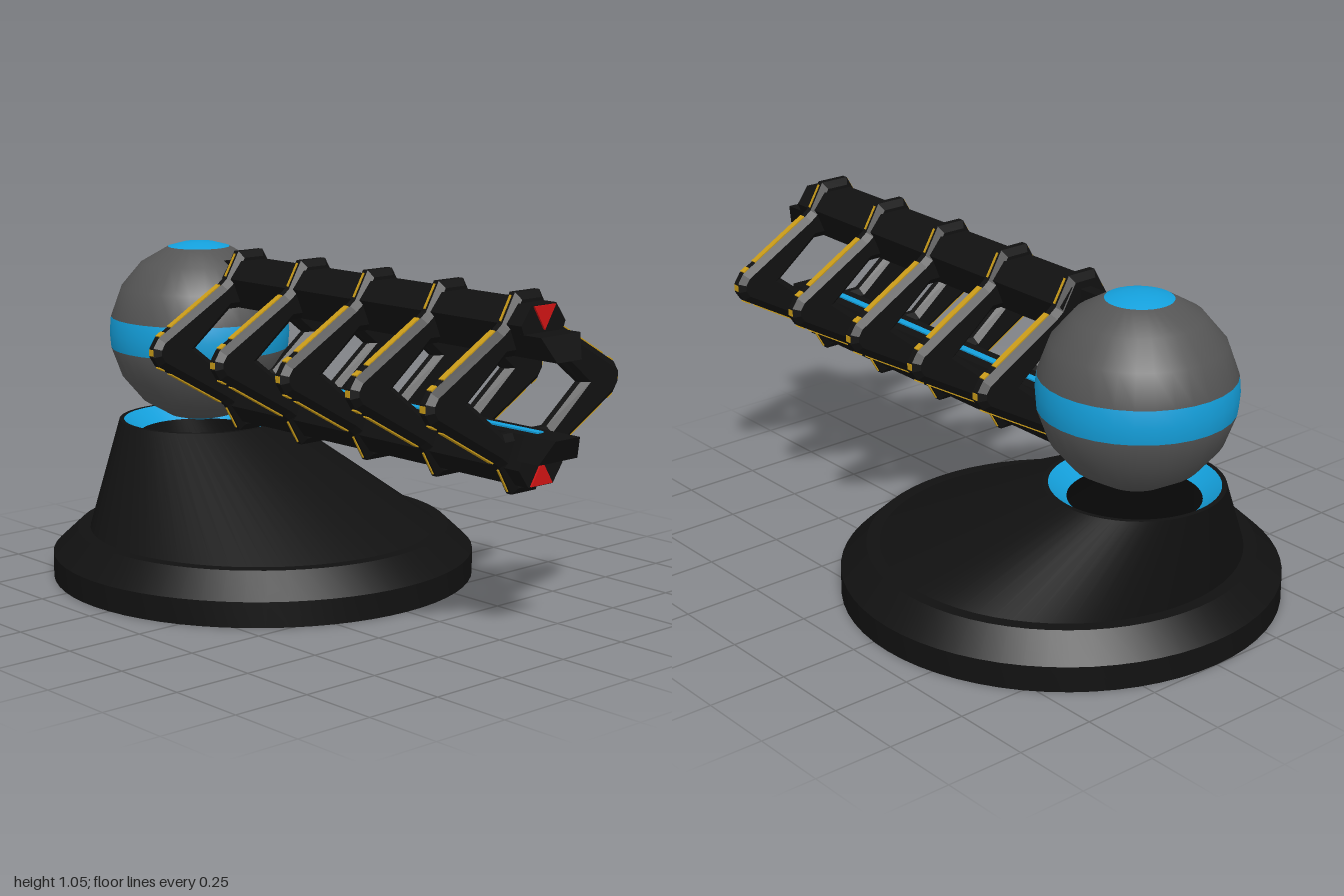
import * as THREE from 'three';
import { toCreasedNormals } from 'three/addons/utils/BufferGeometryUtils.js';

const paint = (color, extra = {}) => new THREE.MeshStandardMaterial({ color, ...extra });
const black = paint(0x111111), grey = paint(0x555555), blue = paint(0x14a0dc);
const gold = paint(0xc89a18), red = paint(0xd01414);

const MID = 0.75; // height of the ball and of the rail axis
const BALL_X = -0.64;

function add(parent, name, geometry, material, x = 0, y = 0, z = 0) {
  const mesh = new THREE.Mesh(geometry, material);
  mesh.name = name;
  mesh.position.set(x, y, z);
  parent.add(mesh);
  return mesh;
}

// Lathe whose rings [radius, y, centreX] may slide sideways
function shearedLathe(rings) {
  const g = new THREE.LatheGeometry(rings.map(([r, y]) => new THREE.Vector2(r, y)), 64);
  const p = g.attributes.position;
  for (let i = 0; i < p.count; i++) p.setX(i, p.getX(i) + rings[i % rings.length][2]);
  return toCreasedNormals(g, 0.4);
}

// Right half of an outline, given as [z, y], mirrored into a closed loop
const mirrorZ = (half) => [
  ...half, ...half.slice().reverse().filter(([z]) => z !== 0).map(([z, y]) => [-z, y]),
].map(([z, y]) => new THREE.Vector2(z, y));

// Right upper quarter of an outline mirrored both ways
const mirrorBoth = (quarter) =>
  mirrorZ([...quarter, ...quarter.slice().reverse().map(([z, y]) => [z, -y])]);

// Extrude a (z, y) outline along x
function alongX(shape, x0, x1, options = { bevelEnabled: false }) {
  const g = new THREE.ExtrudeGeometry(shape, { depth: x1 - x0, ...options });
  return g.rotateY(Math.PI / 2).translate(x0, 0, 0);
}

// Thin strip lying on the line between two (z, y) points
function strip(parent, name, x, [z0, y0], [z1, y1], width) {
  const dz = z1 - z0, dy = y1 - y0;
  const bar = add(parent, name, new THREE.BoxGeometry(width, 0.008, Math.hypot(dz, dy)), gold,
    x, (y0 + y1) / 2, (z0 + z1) / 2);
  bar.rotation.x = -Math.atan2(dy, dz);
}

function makeBase() {
  const base = new THREE.Group();
  base.name = 'base';
  const lip = [0.255, 0.455, BALL_X], throat = [0.2, 0.41, BALL_X];
  add(base, 'pedestal', shearedLathe([
    [0.46, 0, -0.32], [0.68, 0, -0.32], [0.68, 0.08, -0.32], [0.6, 0.155, -0.32],
    [0.56, 0.155, -0.32], [0.27, 0.455, BALL_X], lip,
  ]), black);
  add(base, 'hollow', shearedLathe([throat, [0.46, 0, -0.32]]), black);
  add(base, 'socketRing', shearedLathe([lip, throat]), blue);
  return base;
}

// Ball in nine rows of 20 degrees: blue caps and equator, grey between
function makeBall() {
  const ball = new THREE.Group();
  ball.name = 'ball';
  ball.position.set(BALL_X, MID, 0);
  const step = Math.PI / 9;
  const rows = [
    ['topCap', 0, 1, blue], ['upperShell', 1, 3, grey], ['equatorBand', 4, 1, blue],
    ['lowerShell', 5, 3, grey], ['bottomCap', 8, 1, blue],
  ];
  for (const [name, start, count, material] of rows) {
    add(ball, name, new THREE.SphereGeometry(0.297, 32, count, 0, Math.PI * 2, start * step, count * step), material);
  }
  return ball;
}

// One rail with its prong, end marker and light strip; heights are from the axis
function makeRail() {
  const rail = new THREE.Group();
  rail.name = 'rail';
  const body = new THREE.Shape(mirrorZ([[0.05, 0.11], [0.09, 0.205], [0.05, 0.26]]));
  add(rail, 'railBody', alongX(body, -0.41, 0.9), black);

  // prong with a slanted tip
  const prong = alongX(new THREE.Shape(mirrorZ([[0.05, 0.11], [0.08, 0.18]])), 0.88, 1);
  const p = prong.attributes.position;
  for (let i = 0; i < p.count; i++) {
    if (p.getX(i) > 0.95) p.setX(i, 1 - 0.5 * (p.getY(i) - 0.11));
  }
  prong.computeVertexNormals();
  add(rail, 'prong', prong, black);

  const marker = new THREE.Shape(mirrorZ([[0, 0.187], [0.044, 0.257]]));
  add(rail, 'endMarker', alongX(marker, 0.89, 0.906), red);
  add(rail, 'rearPin', new THREE.BoxGeometry(0.12, 0.045, 0.04), black, -0.43, 0.225, 0);
  add(rail, 'lightStrip', new THREE.BoxGeometry(1.25, 0.008, 0.025), blue, 0.27, 0.109, 0);
  return rail;
}

// Diamond-shaped frame that ties both rails together
function makeRib() {
  const shape = new THREE.Shape(mirrorBoth([
    [0.05, 0.29], [0.1, 0.205], [0.12, 0.19], [0.375, 0.045], [0.395, 0.015],
  ]));
  shape.holes.push(new THREE.Path(
    [[0.23, 0], [0.09, 0.11], [-0.09, 0.11], [-0.23, 0], [-0.09, -0.11], [0.09, -0.11]]
      .map(([z, y]) => new THREE.Vector2(z, y))));
  return alongX(shape, -0.01, 0.01, {
    bevelEnabled: true, bevelThickness: 0.0175, bevelSize: 0.02, bevelOffset: -0.02, bevelSegments: 1,
  });
}

export function createModel() {
  const model = new THREE.Group();
  model.name = 'railTurret';
  model.add(makeBase(), makeBall());

  const barrel = new THREE.Group();
  barrel.name = 'barrel';
  barrel.position.y = MID;
  model.add(barrel);

  // the lower half is the upper half turned about the axis
  const ribGeometry = makeRib();
  for (const turn of [0, Math.PI]) {
    const half = new THREE.Group();
    half.name = turn ? 'lowerHalf' : 'upperHalf';
    half.rotation.x = turn;
    half.add(makeRail());
    for (let i = 0; i < 5; i++) {
      const x = -0.385 + i * 0.3025;
      for (const s of [1, -1]) {
        strip(half, 'ribStripe', x, [s * 0.125, 0.187], [s * 0.325, 0.073], 0.02);
        strip(half, 'ribDash', x, [s * 0.35, 0.059], [s * 0.37, 0.048], 0.02);
        strip(half, 'collarLine', x, [s * 0.055, 0.281], [s * 0.096, 0.212], 0.006);
      }
    }
    barrel.add(half);
  }
  for (let i = 0; i < 5; i++) {
    const x = -0.385 + i * 0.3025;
    add(barrel, 'rib', ribGeometry, black, x);
    for (const s of [1, -1]) {
      add(barrel, 'ribTipMark', new THREE.BoxGeometry(0.02, 0.02, 0.006), gold, x, 0, s * 0.394);
    }
  }
  return model;
}
